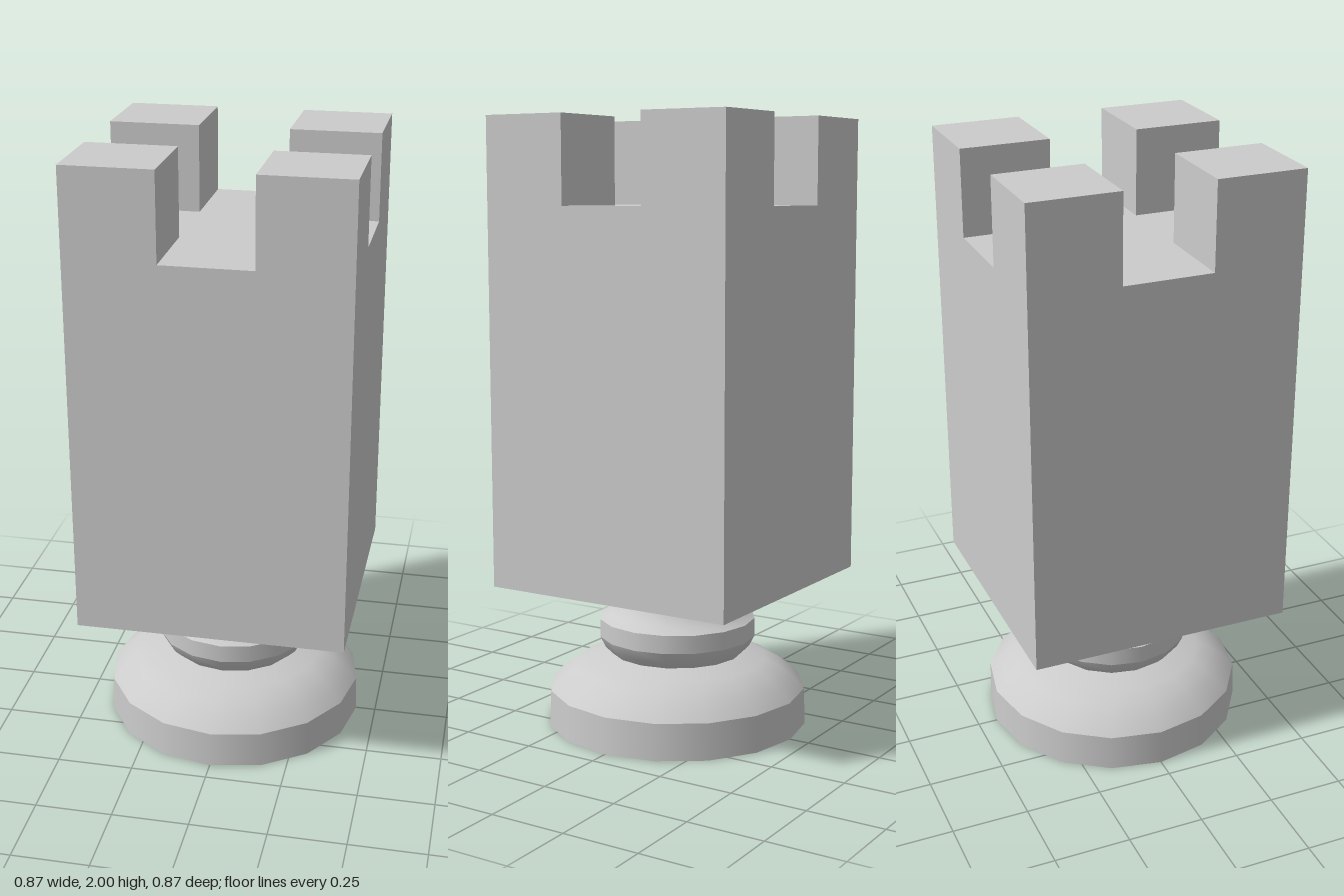
import * as THREE from 'three';

const material = new THREE.MeshStandardMaterial({ color: 0xcccccc, side: THREE.DoubleSide });

function addBox(parent, name, w, h, d, x, y, z) {
  const mesh = new THREE.Mesh(new THREE.BoxGeometry(w, h, d), material);
  mesh.name = name;
  mesh.position.set(x, y + h / 2, z);
  parent.add(mesh);
}

// Each turned section is its own lathe, so the rings between them stay sharp
function addTurned(parent, name, points) {
  const profile = points.map(([r, y]) => new THREE.Vector2(r, y));
  const mesh = new THREE.Mesh(new THREE.LatheGeometry(profile, 16), material);
  mesh.name = name;
  parent.add(mesh);
}

export function createModel() {
  const model = new THREE.Group();
  model.name = 'rookPiece';

  // Turned pedestal
  const pedestal = new THREE.Group();
  pedestal.name = 'pedestal';
  addTurned(pedestal, 'baseUnderside', [[0, 0], [0.434, 0]]);
  addTurned(pedestal, 'baseRim', [[0.434, 0], [0.43, 0.12]]);
  addTurned(pedestal, 'baseDome', [[0.43, 0.12], [0.395, 0.158], [0.35, 0.191], [0.3, 0.215], [0.22, 0.235]]);
  addTurned(pedestal, 'collarLower', [[0.22, 0.235], [0.245, 0.26], [0.262, 0.295]]);
  addTurned(pedestal, 'collarBand', [[0.262, 0.295], [0.262, 0.355]]);
  addTurned(pedestal, 'neck', [[0.262, 0.355], [0.225, 0.375], [0.197, 0.405], [0.187, 0.435], [0.192, 0.465], [0.215, 0.487]]);
  model.add(pedestal);

  // Square tower with a merlon on each corner
  const width = 0.868, notch = 0.29;
  const bottom = 0.487, floor = 1.72, top = 2;
  const side = (width - notch) / 2;
  const offset = (width - side) / 2;
  addBox(model, 'towerBody', width, floor - bottom, width, 0, bottom, 0);
  for (const sx of [-1, 1]) {
    for (const sz of [-1, 1]) {
      const name = (sz > 0 ? 'front' : 'back') + (sx > 0 ? 'Left' : 'Right') + 'Merlon';
      addBox(model, name, side, top - floor, side, sx * offset, floor, sz * offset);
    }
  }
  return model;
}
